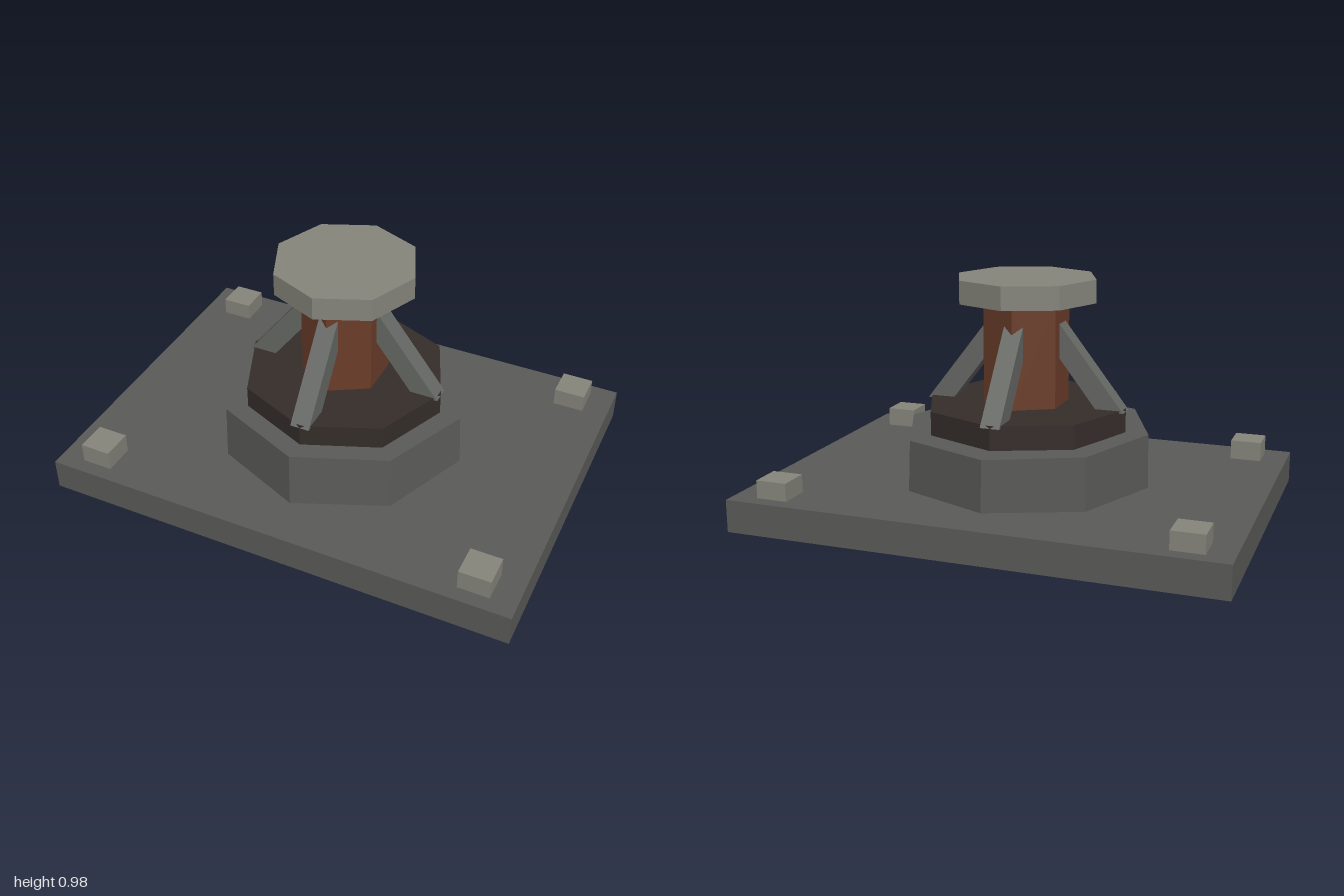
import * as THREE from 'three';

const mat = (color) => new THREE.MeshStandardMaterial({ color, flatShading: true });

const STONE = mat(0x5a5a58);
const DARK = mat(0x352d2a);
const RUST = mat(0x6b3d2a);
const STEEL = mat(0x666864);
const PALE = mat(0x85857c);

function add(parent, name, geometry, material, x = 0, y = 0, z = 0) {
  const mesh = new THREE.Mesh(geometry, material);
  mesh.name = name;
  mesh.position.set(x, y, z);
  parent.add(mesh);
  return mesh;
}

// Moves every vertex of a geometry by a rule
function deform(geometry, rule) {
  const p = geometry.attributes.position;
  const v = new THREE.Vector3();
  for (let i = 0; i < p.count; i++) {
    v.fromBufferAttribute(p, i);
    rule(v);
    p.setXYZ(i, v.x, v.y, v.z);
  }
  geometry.computeVertexNormals();
  return geometry;
}

// Upright prism standing between two heights, with a corner facing +z
function prism(radius, bottom, top, sides, bottomRadius = radius) {
  return new THREE.CylinderGeometry(radius, bottomRadius, top - bottom, sides)
    .translate(0, (bottom + top) / 2, 0);
}

export function createModel() {
  const model = new THREE.Group();
  model.name = 'pedestal';

  // Slightly uneven stone slab
  const slab = new THREE.BoxGeometry(2, 0.134, 1.44).translate(0, 0.072, 0);
  add(model, 'baseSlab', deform(slab, (v) => { v.y -= 0.007 * v.z; }), STONE);

  // Rough octagonal drum whose top is a little shifted and tilted
  const drum = prism(0.517, 0.13, 0.361, 8, 0.525);
  add(model, 'drum', deform(drum, (v) => {
    if (v.y < 0.3) return;
    v.y += 0.012 * v.z - 0.008 * v.x;
    v.x -= 0.005;
    v.z -= 0.007;
  }), STONE);

  // Collar, hexagonal column and cap
  add(model, 'collar', prism(0.425, 0.362, 0.46, 8), DARK);
  add(model, 'column', prism(0.178, 0.45, 0.89, 6), RUST);
  add(model, 'cap', prism(0.295, 0.885, 0.98, 8), PALE);

  // Four sloping braces from the collar to the column
  const profile = new THREE.Shape([
    [0.15, 0.805], [0.15, 0.665], [0.315, 0.45], [0.425, 0.45],
  ].map(([x, y]) => new THREE.Vector2(x, y)));
  const brace = new THREE.ExtrudeGeometry(profile, { depth: 0.08, bevelEnabled: false })
    .translate(0, 0, -0.04);
  ['leftBrace', 'backBrace', 'rightBrace', 'frontBrace'].forEach((name, i) => {
    add(model, name, brace, STEEL).rotation.y = i * Math.PI / 2;
  });

  // Square bolt heads at the slab corners
  const bolt = new THREE.BoxGeometry(0.13, 0.085, 0.13);
  for (const x of [-1, 1]) {
    for (const z of [-1, 1]) {
      const name = (z > 0 ? 'front' : 'back') + (x > 0 ? 'Left' : 'Right') + 'Bolt';
      add(model, name, bolt, PALE, x * 0.83, 0.175, z * 0.595);
    }
  }

  return model;
}
